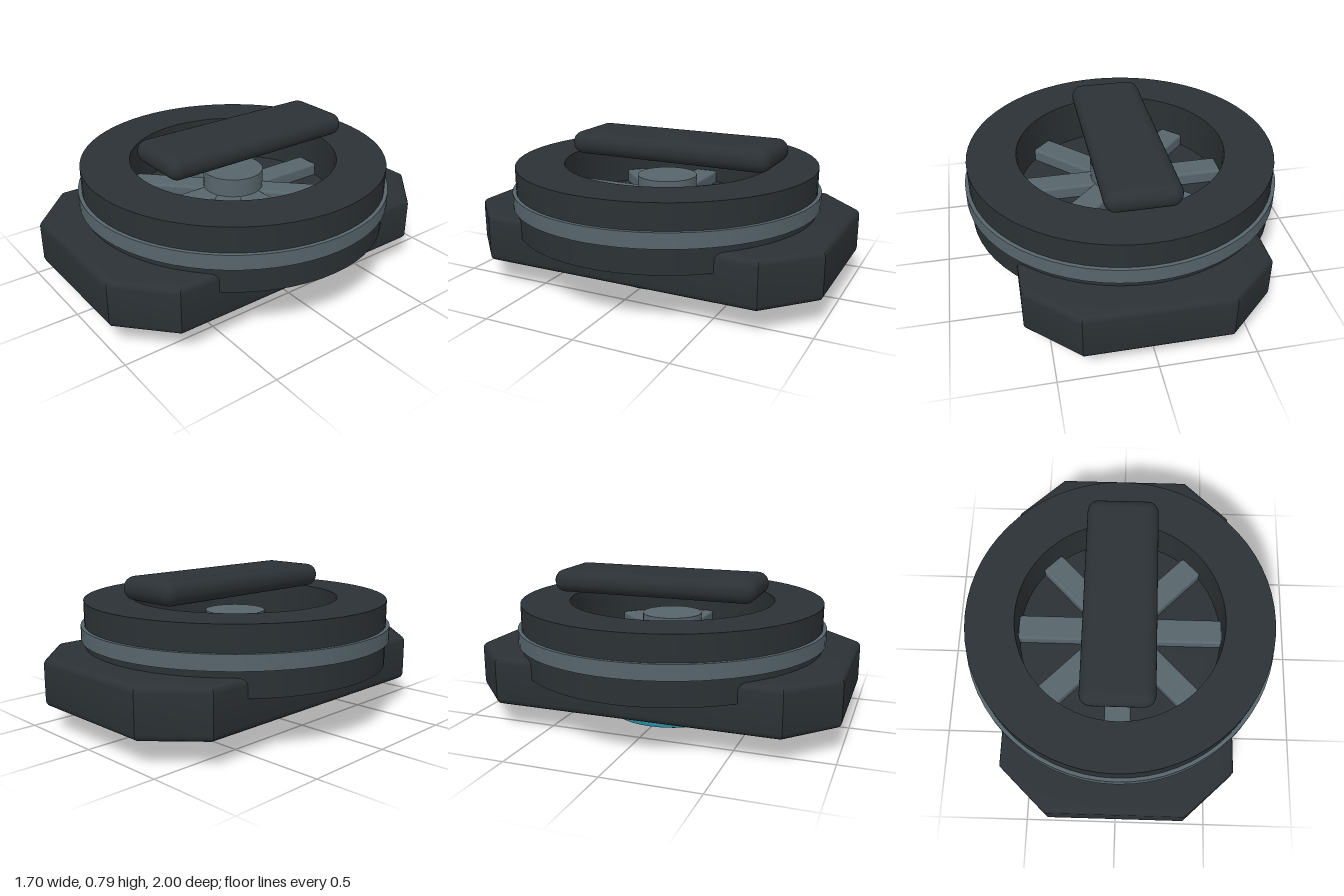
import * as THREE from 'three';
import { toCreasedNormals } from 'three/addons/utils/BufferGeometryUtils.js';
import { RoundedBoxGeometry } from 'three/addons/geometries/RoundedBoxGeometry.js';

const paint = (color) => new THREE.MeshStandardMaterial({ color });

// Revolved closed profile of [radius, height] points, counter-clockwise
function revolve(points, segments = 64) {
  const profile = points.map(([r, y]) => new THREE.Vector2(r, y));
  return toCreasedNormals(new THREE.LatheGeometry(profile, segments), 0.5);
}

// Rectangular-section ring
const ringGeometry = (inner, outer, y0, y1) =>
  revolve([[inner, y0], [outer, y0], [outer, y1], [inner, y1], [inner, y0]]);

// Octagonal slab with rounded edges
function slabGeometry() {
  const bevel = 0.035, x = 0.625 - bevel, z = 1 - bevel, cx = 0.355, cz = 0.745;
  const shape = new THREE.Shape([
    [cx, -z], [x, -cz], [x, cz], [cx, z], [-cx, z], [-x, cz], [-x, -cz], [-cx, -z],
  ].map(([a, b]) => new THREE.Vector2(a, b)));
  const geometry = new THREE.ExtrudeGeometry(shape, {
    depth: 0.26 - 2 * bevel, bevelThickness: bevel, bevelSize: bevel, bevelSegments: 4,
  });
  geometry.rotateX(-Math.PI / 2).translate(0, 0.13 + bevel, 0);
  return toCreasedNormals(geometry, 0.6);
}

export function createModel() {
  const group = new THREE.Group();
  const dark = paint(0x2b3135), steel = paint(0x57656c);
  const teal = paint(0x2c96ab), copper = paint(0x96683a);

  function add(name, geometry, material, x = 0, y = 0, z = 0, parent = group) {
    const mesh = new THREE.Mesh(geometry, material);
    mesh.name = name;
    mesh.position.set(x, y, z);
    parent.add(mesh);
    return mesh;
  }

  // Base slab, ring housing and its trim band
  add('base', slabGeometry(), dark);
  add('housingRing', ringGeometry(0.565, 0.83, 0.29, 0.64), dark);
  add('trimBand', ringGeometry(0.8, 0.85, 0.425, 0.505), steel);

  // Rotor: hub with eight spokes
  const rotor = new THREE.Group();
  rotor.name = 'rotor';
  group.add(rotor);
  add('hub', new THREE.CylinderGeometry(0.165, 0.165, 0.18, 32), steel, 0, 0.47, 0, rotor);
  const spoke = new RoundedBoxGeometry(0.49, 0.08, 0.14, 2, 0.015).translate(0.32, 0, 0);
  for (let i = 0; i < 8; i++) {
    add('spoke', spoke, steel, 0, 0.42, 0, rotor).rotation.y = i * Math.PI / 4;
  }

  // Top bar, set slightly toward the back
  add('topBar', new RoundedBoxGeometry(0.39, 0.125, 1.155, 4, 0.06), dark, 0, 0.727, -0.068);

  // Disc under the base
  add('bottomDisc', revolve([
    [0, 0], [0.335, 0], [0.345, 0.004], [0.35, 0.015],
    [0.35, 0.075], [0.345, 0.086], [0.335, 0.09], [0, 0.09],
  ]), teal);

  // Open contact tubes half sunk into the underside
  const tube = new THREE.CylinderGeometry(0.03, 0.03, 0.67, 16, 1, true).rotateX(Math.PI / 2);
  for (const side of [-1, 1]) add('contactTube', tube, copper, side * 0.44, 0.13, 0);

  return group;
}
